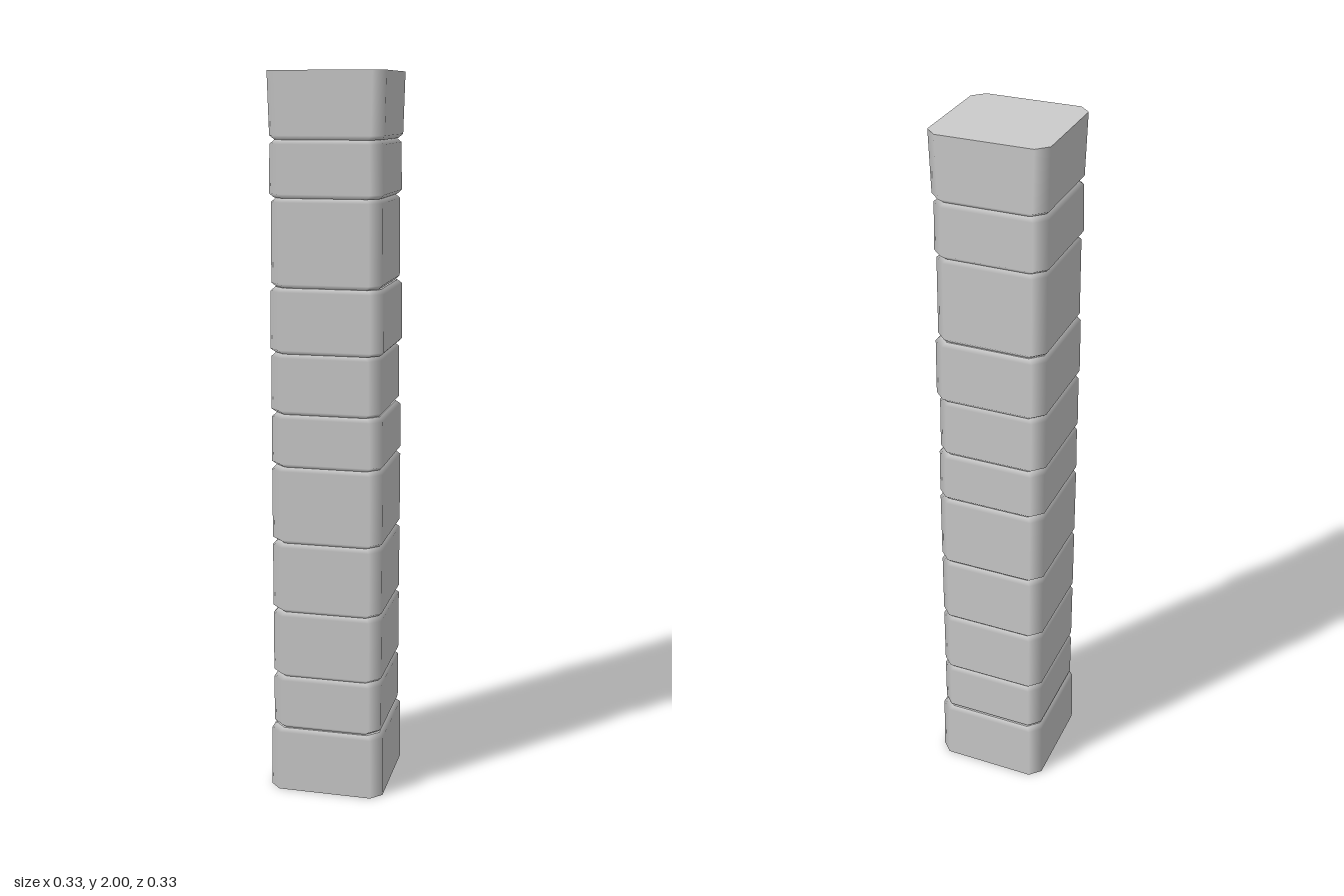
import * as THREE from 'three';

const CUT = 0.03;    // corner chamfer in plan
const BEVEL = 0.011; // softened edge at each joint

// Chamfered square block; rings are [y, halfWidth, normalTilt] from bottom to top
function blockGeometry(rings) {
  const pos = [], nor = [], idx = [];
  const addRing = (y, h, tilt, capNormal) => {
    const start = pos.length / 3;
    for (let k = 0; k < 4; k++) {
      const s = Math.round(Math.sin(k * Math.PI / 2));
      const c = Math.round(Math.cos(k * Math.PI / 2));
      for (const side of [-1, 1]) {
        const w = side * (h - CUT);
        pos.push(s * h + c * w, y, c * h - s * w);
        if (capNormal) nor.push(0, capNormal, 0);
        else nor.push(s * Math.cos(tilt), Math.sin(tilt), c * Math.cos(tilt));
      }
    }
    return start;
  };
  // Walls and bevels
  const starts = rings.map(([y, h, tilt]) => addRing(y, h, tilt, 0));
  for (let r = 0; r < rings.length - 1; r++) {
    for (let i = 0; i < 8; i++) {
      const j = (i + 1) % 8, a = starts[r], b = starts[r + 1];
      idx.push(a + i, a + j, b + j, a + i, b + j, b + i);
    }
  }
  // Flat caps
  const first = rings[0], last = rings[rings.length - 1];
  const bottom = addRing(first[0], first[1], 0, -1);
  const top = addRing(last[0], last[1], 0, 1);
  for (let i = 1; i < 7; i++) {
    idx.push(bottom, bottom + i + 1, bottom + i, top, top + i, top + i + 1);
  }
  const g = new THREE.BufferGeometry();
  g.setAttribute('position', new THREE.Float32BufferAttribute(pos, 3));
  g.setAttribute('normal', new THREE.Float32BufferAttribute(nor, 3));
  g.setIndex(idx);
  return g;
}

export function createModel() {
  const group = new THREE.Group();
  group.name = 'stonePillar';
  const material = new THREE.MeshStandardMaterial({ color: 0xcccccc });

  // Each course: top height, half width at bottom, half width at top, x shift
  const courses = [
    [0.185, 0.163, 0.161, 0],
    [0.34, 0.155, 0.155, 0],
    [0.532, 0.155, 0.155, 0],
    [0.733, 0.155, 0.155, 0],
    [0.95, 0.155, 0.155, 0],
    [1.097, 0.155, 0.154, 0],
    [1.263, 0.153, 0.152, -0.003],
    [1.44, 0.156, 0.155, 0],
    [1.675, 0.151, 0.15, -0.002],
    [1.825, 0.154, 0.152, -0.002],
    [2, 0.154, 0.158, 0],
  ];

  let y0 = 0;
  courses.forEach(([y1, h0, h1, shift], i) => {
    const isBase = i === 0, isCap = i === courses.length - 1;
    const rings = [];
    // The ground edge and the very top edge stay sharp
    if (isBase) rings.push([y0, h0, 0]);
    else rings.push([y0, h0 - BEVEL, -0.8], [y0 + BEVEL, h0, 0]);
    if (isCap) rings.push([y1, h1, 0]);
    else rings.push([y1 - BEVEL, h1, 0], [y1, h1 - BEVEL, 0.8]);
    const block = new THREE.Mesh(blockGeometry(rings), material);
    block.name = isBase ? 'baseBlock' : isCap ? 'topBlock' : `block${i}`;
    block.position.x = shift;
    group.add(block);
    y0 = y1;
  });
  return group;
}
